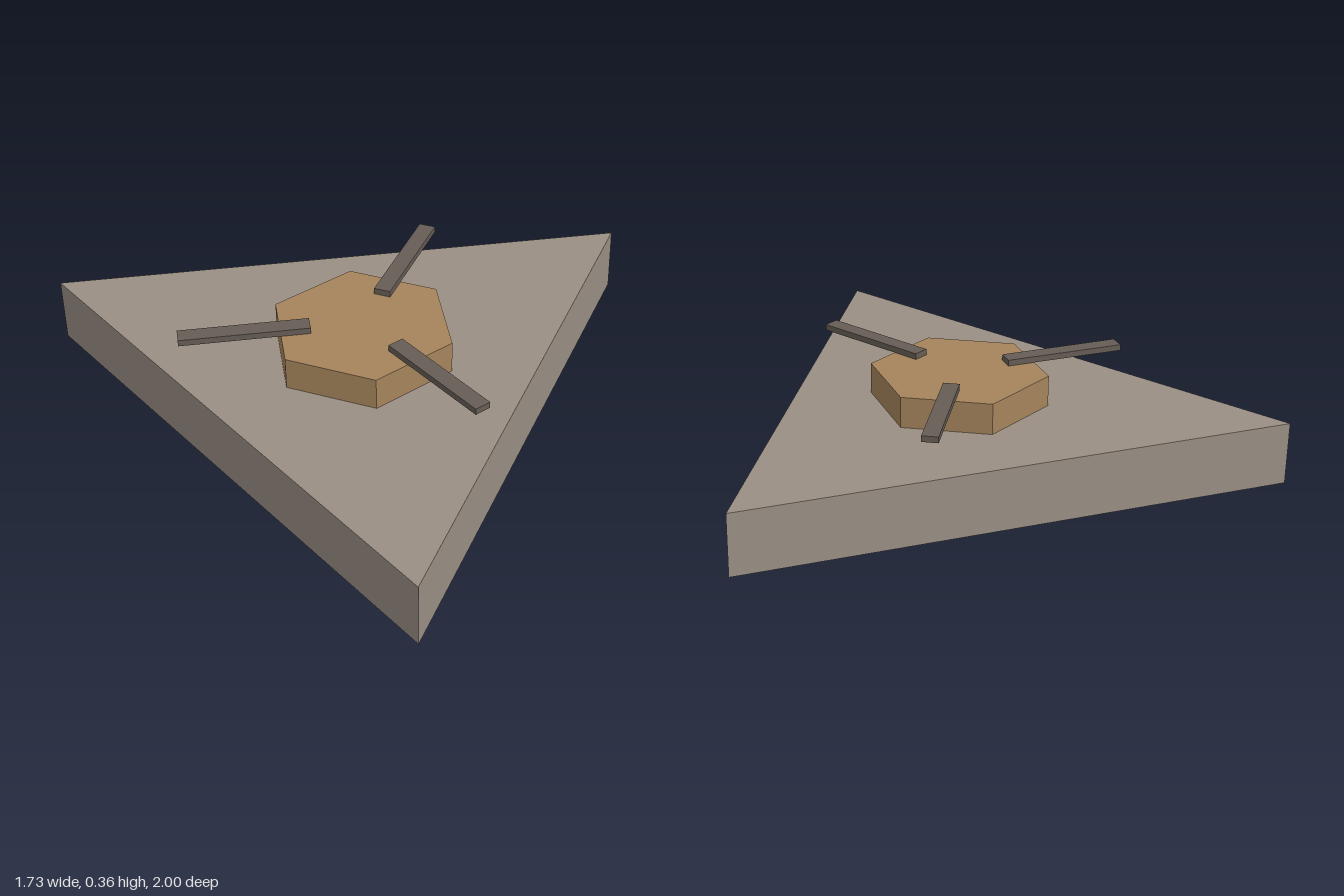
import * as THREE from 'three';

const CENTRE_X = -0.289; // centroid of the triangle

function mat(color) {
  return new THREE.MeshStandardMaterial({ color, flatShading: true });
}

// Upright prism with one corner pointing to +x
function prism(name, sides, radius, y0, y1, color) {
  const geo = new THREE.CylinderGeometry(radius, radius, y1 - y0, sides, 1, false, Math.PI / 2);
  const mesh = new THREE.Mesh(geo, mat(color));
  mesh.name = name;
  mesh.position.y = (y0 + y1) / 2;
  return mesh;
}

export function createModel() {
  const model = new THREE.Group();
  model.name = 'triangularPlatform';
  model.position.x = CENTRE_X;

  // Triangular slab and hexagonal hub
  model.add(prism('base', 3, 1.155, 0, 0.228, 0x9a8f84));
  model.add(prism('hub', 6, 0.317, 0.228, 0.341, 0xa5845c));

  // Three flat arms lying on the hub, each pointing at the middle of a side or beyond
  const armGeo = new THREE.BoxGeometry(0.058, 0.022, 0.436);
  const armMat = mat(0x665d55);
  for (let i = 0; i < 3; i++) {
    const arm = new THREE.Group();
    arm.name = `arm${i + 1}`;
    arm.rotation.y = (i * 2 * Math.PI) / 3;
    const bar = new THREE.Mesh(armGeo, armMat);
    bar.name = 'armBar';
    bar.position.set(0, 0.352, 0.393);
    arm.add(bar);
    model.add(arm);
  }

  const root = new THREE.Group();
  root.add(model);
  return root;
}
